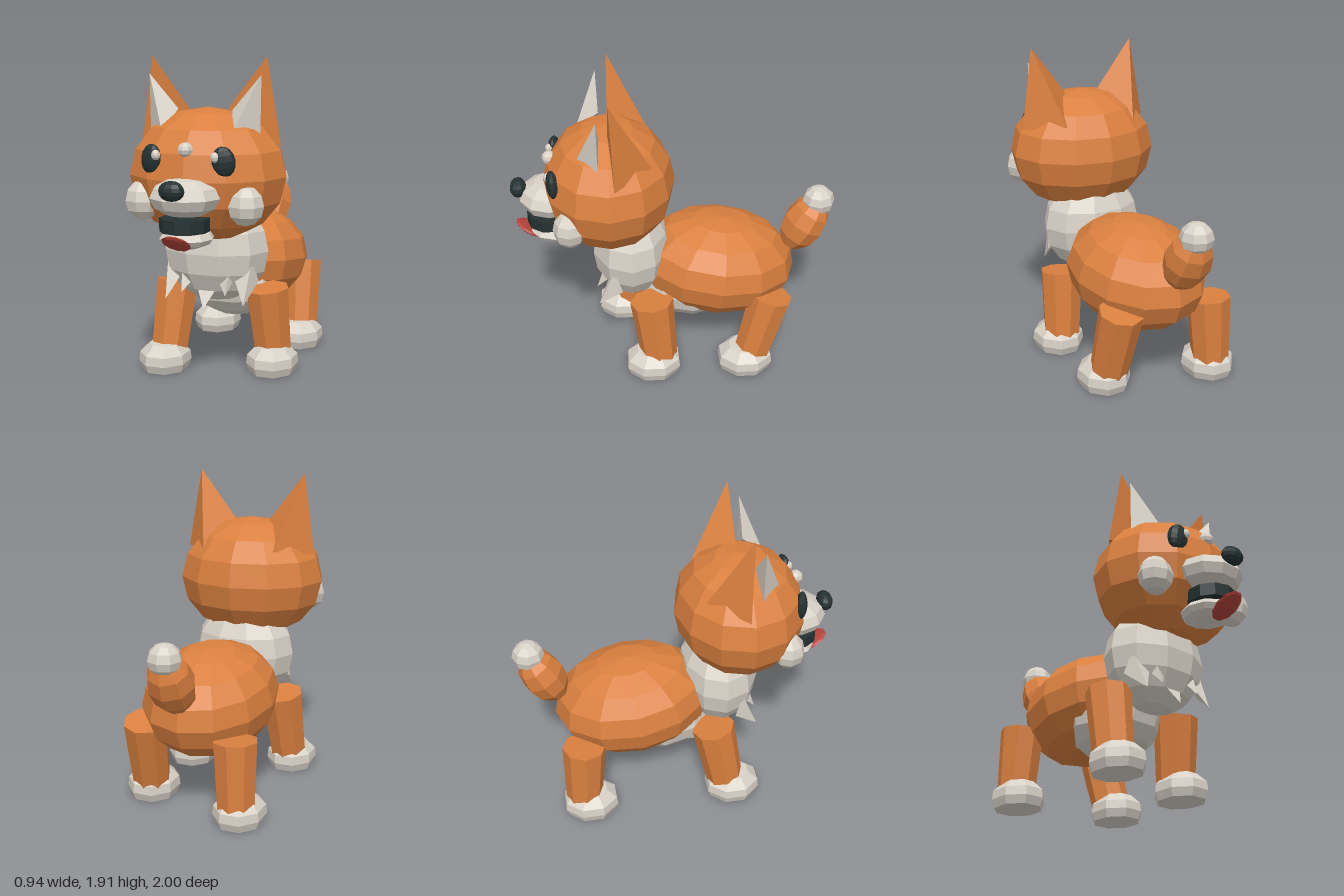
import * as THREE from 'three';
import { ConvexGeometry } from 'three/addons/geometries/ConvexGeometry.js';

export function createModel() {
  const model = new THREE.Group();
  model.name = 'fox';

  const material = (name, color) => {
    const m = new THREE.MeshStandardMaterial({ color, flatShading: true });
    m.name = name;
    return m;
  };
  const orange = material('orange fur', 0xda803f);
  const white = material('white fur', 0xd8d1c7);
  const black = material('black', 0x253131);
  const red = material('tongue red', 0xb3433a);

  const add = (name, geometry, mat, position = [0, 0, 0], rotation = [0, 0, 0]) => {
    const mesh = new THREE.Mesh(geometry, mat);
    mesh.name = name;
    mesh.position.set(...position);
    mesh.rotation.set(...rotation);
    model.add(mesh);
    return mesh;
  };
  // Low-poly ellipsoid
  const blob = (name, mat, position, radii, rotation, sides = 8, rows = 6) =>
    add(name, new THREE.SphereGeometry(1, sides, rows).scale(...radii), mat, position, rotation);
  // Pointed solid from its corners, optionally mirrored in x
  const spike = (name, mat, corners, side = 1) =>
    add(name, new ConvexGeometry(corners.map(([x, y, z]) => new THREE.Vector3(x * side, y, z))), mat);

  // Torso
  blob('body', orange, [0, 0.62, -0.27], [0.4, 0.32, 0.5], [-0.12, 0, 0], 12, 8);
  blob('belly', white, [0, 0.5, -0.1], [0.3, 0.23, 0.33], [0, 0, 0], 10, 8);
  blob('chest', white, [0, 0.77, 0.28], [0.33, 0.32, 0.245], [0, 0, 0], 10, 8);

  // Chest fur tufts
  spike('centreTuft', white, [[0, 0.445, 0.5], [-0.066, 0.57, 0.43], [0.066, 0.57, 0.43], [0, 0.6, 0.36]]);
  for (const s of [1, -1]) {
    spike('innerTuft', white,
      [[0.137, 0.535, 0.5], [0.076, 0.614, 0.45], [0.147, 0.67, 0.46], [0.172, 0.642, 0.4]], s);
    spike('outerTuft', white,
      [[0.244, 0.482, 0.49], [0.162, 0.635, 0.42], [0.264, 0.736, 0.39], [0.29, 0.6, 0.34]], s);
  }

  // Head
  blob('head', orange, [0, 1.235, 0.4], [0.472, 0.388, 0.4], [0, 0, 0], 12, 8);
  blob('muzzle', white, [0, 1.15, 0.76], [0.205, 0.112, 0.19], [0, 0, 0], 10, 6);
  blob('nose', black, [0, 1.21, 0.95], [0.076, 0.056, 0.05], [0, 0, 0], 10, 8);
  add('mouth', new THREE.CylinderGeometry(0.14, 0.14, 0.075, 10), black, [0, 1.0, 0.77]);
  blob('lowerJaw', white, [0, 0.92, 0.74], [0.155, 0.06, 0.16], [0, 0, 0], 10, 6);
  blob('tongue', red, [0, 0.913, 0.89], [0.08, 0.02, 0.108], [-0.54, 0, 0], 10, 6);
  blob('foreheadSpot', white, [0, 1.41, 0.75], [0.045, 0.042, 0.045]);

  for (const s of [1, -1]) {
    blob('eye', black, [s * 0.215, 1.35, 0.73], [0.066, 0.085, 0.035], [0, s * 0.25, s * 0.18], 10, 8);
    blob('eyeGlint', white, [s * 0.175, 1.375, 0.755], [0.027, 0.03, 0.027]);
    blob('cheek', white, [s * 0.31, 1.1, 0.64], [0.108, 0.115, 0.1]);
    spike('ear', orange,
      [[0.35, 1.91, 0.39], [0.08, 1.56, 0.4], [0.43, 1.41, 0.37], [0.235, 1.45, 0.15]], s);
    spike('innerEar', white,
      [[0.34, 1.81, 0.46], [0.165, 1.61, 0.45], [0.335, 1.47, 0.46], [0.21, 1.49, 0.59]], s);
  }

  // Legs: hip point and paw centre for each
  const limbs = [
    ['leftFrontLeg', [0.285, 0.52, 0.165], [0.32, 0.16]],
    ['rightFrontLeg', [-0.285, 0.53, 0.2], [-0.32, 0.325]],
    ['leftBackLeg', [0.29, 0.53, -0.585], [0.32, -0.43]],
    ['rightBackLeg', [-0.3, 0.51, -0.62], [-0.32, -0.6]],
  ];
  const pawProfile = [[0, 0], [0.14, 0], [0.158, 0.05], [0.152, 0.105], [0.095, 0.162], [0, 0.168]]
    .map(([r, y]) => new THREE.Vector2(r, y));
  for (const [name, hip, [px, pz]] of limbs) {
    const top = new THREE.Vector3(...hip);
    const foot = new THREE.Vector3(px * 0.98, 0.08, pz - 0.04);
    const axis = top.clone().sub(foot);
    const leg = add(name, new THREE.CylinderGeometry(0.135, 0.115, axis.length(), 8), orange,
      top.clone().add(foot).multiplyScalar(0.5).toArray());
    leg.quaternion.setFromUnitVectors(new THREE.Vector3(0, 1, 0), axis.normalize());
    add(name + 'Paw', new THREE.LatheGeometry(pawProfile, 8).rotateY(Math.PI / 8).scale(1, 1, 1.14),
      white, [px, 0, pz]);
  }

  // Tail
  blob('tail', orange, [0, 0.87, -0.82], [0.143, 0.2, 0.135], [-0.5, 0, 0], 8, 6);
  blob('tailTip', white, [0, 1.035, -0.9], [0.1, 0.095, 0.1], [0, 0, 0], 8, 6);

  return model;
}
